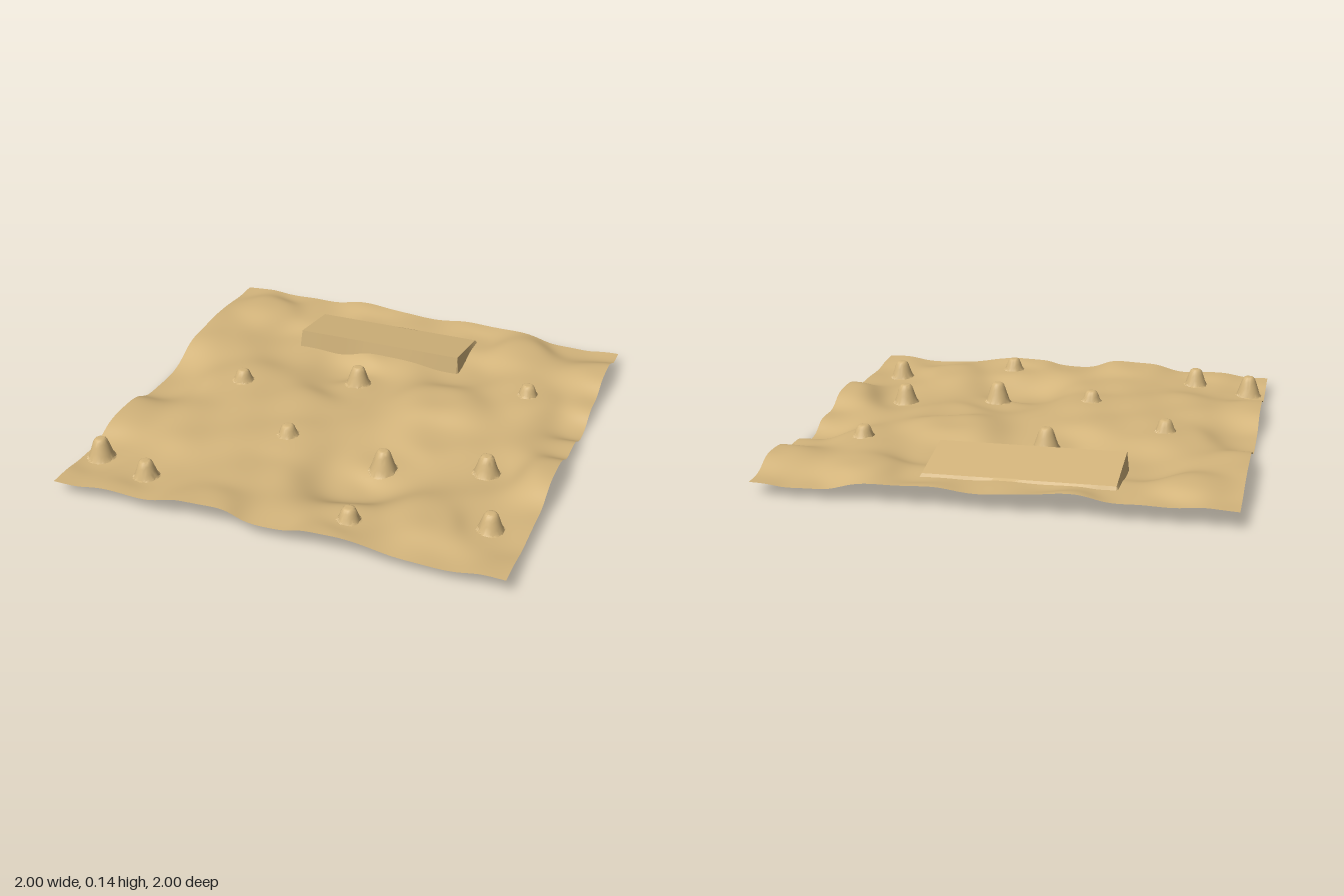
import * as THREE from 'three';
import { toCreasedNormals } from 'three/addons/utils/BufferGeometryUtils.js';

const N = 250; // grid cells per side

// Survey points of the rolling ground: x, z, height
const SURVEY = [
  // corners
  [-1, 1, 0.06], [1, 1, 0.075], [1, -1, 0.06], [-1, -1, 0.08],
  // front edge
  [-0.7, 1, 0.075], [-0.3, 1, 0.11], [0, 1, 0.07], [0.22, 1, 0.1], [0.7, 1, 0.06],
  // right edge
  [1, 0.6, 0.06], [1, 0.23, 0.122], [1, -0.06, 0.06], [1, -0.26, 0.005], [1, -0.46, 0.06], [1, -0.7, 0.115],
  // back edge
  [0.78, -1, 0.045], [0.3, -1, 0.095], [-0.3, -1, 0.105], [-0.7, -1, 0.08],
  // left edge
  [-1, -0.5, 0.105], [-1, 0.03, 0.025], [-1, 0.4, 0.09],
  // around the ramp
  [-0.55, -0.54, 0.05], [-0.1, -0.54, 0.085], [0.33, -0.54, 0.055],
  [-0.5, -0.86, 0.075], [-0.25, -0.86, 0.078], [0.05, -0.86, 0.078], [0.31, -0.86, 0.075],
  // hollows
  [0.2, 0.53, 0], [-0.19, -0.38, 0.01],
  // hills
  [-0.78, -0.8, 0.12], [0.55, -0.8, 0.11], [0.35, -0.17, 0.112], [0.6, 0.72, 0.098],
  // open ground
  [0.45, 0.1, 0.07], [-0.3, 0.05, 0.085], [-0.6, 0.4, 0.085], [-0.25, 0.65, 0.08],
];

// Mounds: x, z, ground height around them
const MOUNDS = [
  [-0.92, 0.73, 0.04], [-0.65, 0.82, 0.06], [-0.2, 0.33, 0.088], [0.27, 0.38, 0.045],
  [0.29, 0.84, 0.08], [0.84, 0.67, 0.055], [0.7, 0.26, 0.05], [0.7, -0.4, 0.09],
  [-0.1, -0.28, 0.055], [-0.6, -0.06, 0.085],
];

// Smooth blend between the survey points, with gentle ripples
function groundHeight(x, z) {
  let sum = 0, total = 0;
  for (const [px, pz, h] of [...SURVEY, ...MOUNDS]) {
    const w = 1 / ((x - px) ** 2 + (z - pz) ** 2 + 0.008) ** 2;
    sum += w * h;
    total += w;
  }
  const ripple = Math.sin(17 * x + 5 * z) * Math.sin(13 * z - 6 * x);
  return Math.max(0, sum / total + 0.004 * ripple);
}

// Truncated cone with a bevelled flat top
function moundHeight(x, z) {
  let top = 0;
  for (const [mx, mz] of MOUNDS) {
    const r = Math.hypot(x - mx, z - mz);
    top = Math.max(top, Math.min(0.14, 0.14 - (r - 0.02) * 0.9, 0.131 - (r - 0.03) * 3));
  }
  return top;
}

// Wedge rising from the back to a sheer front wall
function rampHeight(x, z) {
  const inside = x > -0.5 && x < 0.315 && z > -0.84 && z < -0.535;
  return inside ? THREE.MathUtils.mapLinear(z, -0.84, -0.54, 0.088, 0.137) : 0;
}

export function createModel() {
  const group = new THREE.Group();
  const material = new THREE.MeshStandardMaterial({ color: 0xd4b57c, side: THREE.DoubleSide });

  // One height field, hollow below; each vertex remembers its part
  const positions = [], owner = [];
  for (let j = 0; j <= N; j++) {
    for (let i = 0; i <= N; i++) {
      const x = -1 + (2 * i) / N, z = -1 + (2 * j) / N;
      const heights = [groundHeight(x, z), moundHeight(x, z), rampHeight(x, z)];
      const y = Math.max(...heights);
      positions.push(x, y, z);
      owner.push(heights.indexOf(y));
    }
  }

  // Sort the cells into ground, mounds and ramp
  const faces = [[], [], []];
  for (let j = 0; j < N; j++) {
    for (let i = 0; i < N; i++) {
      const a = j * (N + 1) + i, b = a + 1, c = a + N + 1, d = c + 1;
      const part = Math.max(owner[a], owner[b], owner[c], owner[d]);
      faces[part].push(a, c, b, b, c, d);
    }
  }

  const attribute = new THREE.Float32BufferAttribute(positions, 3);
  ['ground', 'mounds', 'ramp'].forEach((name, part) => {
    const indexed = new THREE.BufferGeometry();
    indexed.setAttribute('position', attribute);
    indexed.setIndex(faces[part]);
    indexed.computeVertexNormals();
    const geometry = part === 0 ? indexed : toCreasedNormals(indexed, Math.PI / 5);
    const mesh = new THREE.Mesh(geometry, material);
    mesh.name = name;
    group.add(mesh);
  });

  return group;
}
